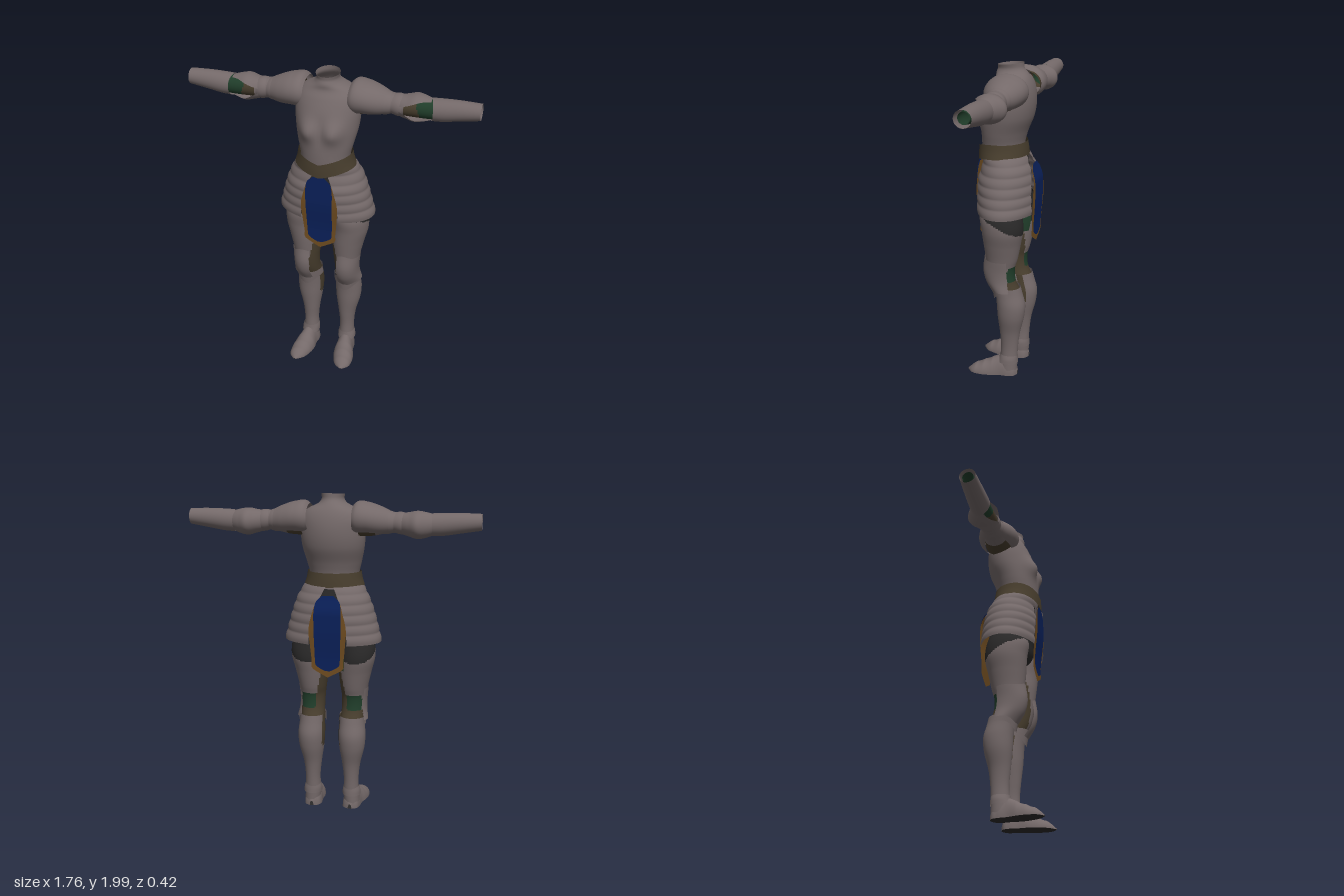
import * as THREE from 'three';

const paint = (name, color) => {
  const m = new THREE.MeshStandardMaterial({ color, side: THREE.DoubleSide });
  m.name = name;
  return m;
};
const steel = paint('steel', 0x746969);
const leather = paint('brown leather', 0x473d2d);
const blue = paint('blue cloth', 0x0a2059);
const gold = paint('gold trim', 0x6f4c20);
const green = paint('green cloth', 0x203d2a);
const black = paint('black cloth', 0x2a2929);

// Smooth interpolation of rows [t, a, b, ...]
function curve(rows) {
  const n = rows[0].length - 1;
  const it = new THREE.CubicInterpolant(rows.map(r => r[0]), rows.flatMap(r => r.slice(1)), n, new Float32Array(n));
  return t => it.evaluate(t);
}

// Grid surface from point(u, v); pick(centre) gives a material, or null for a hole
function surface(name, point, nu, nv, closed, pick) {
  const pos = [], cols = closed ? nu : nu + 1;
  for (let j = 0; j <= nv; j++)
    for (let i = 0; i < cols; i++) pos.push(...point(i / nu, j / nv));
  const sets = new Map();
  const vert = k => new THREE.Vector3().fromArray(pos, k * 3);
  for (let j = 0; j < nv; j++)
    for (let i = 0; i < nu; i++) {
      const a = j * cols + i, b = j * cols + (i + 1) % cols, c = a + cols, d = b + cols;
      const mat = pick.isMaterial ? pick : pick(vert(a).add(vert(d)).multiplyScalar(0.5), (i + 0.5) / nu);
      if (!mat) continue;
      if (!sets.has(mat)) sets.set(mat, []);
      sets.get(mat).push(a, c, b, b, c, d);
    }
  const geo = new THREE.BufferGeometry();
  geo.setAttribute('position', new THREE.Float32BufferAttribute(pos, 3));
  const index = [], mats = [...sets.keys()];
  mats.forEach((m, k) => {
    geo.addGroup(index.length, sets.get(m).length, k);
    index.push(...sets.get(m));
  });
  geo.setIndex(index);
  geo.computeVertexNormals();
  const mesh = new THREE.Mesh(geo, mats.length === 1 ? mats[0] : mats);
  mesh.name = name;
  return mesh;
}

// Elliptical loft. Rows: [y, cx, cz, rx, rz] upright, or [x, cy, cz, ry, rz] sideways
function loft(name, rows, pick, { sideways = false, arc, warp, nu = 40, nv = 32, swell } = {}) {
  const f = curve(rows), t0 = rows[0][0], t1 = rows[rows.length - 1][0];
  return surface(name, (u, v) => {
    const t = t0 + (t1 - t0) * v, [c, cz, r, rz] = f(t);
    const [a0, a1] = arc ? arc(v, r) : [0, Math.PI * 2];
    const a = a0 + (a1 - a0) * u, s = swell ? swell(v) : 0;
    const p = sideways
      ? [t, c + (r + s) * Math.cos(a), cz - (rz + s) * Math.sin(a)]
      : [c + (r + s) * Math.cos(a), t, cz + (rz + s) * Math.sin(a)];
    if (warp) warp(p, a, v);
    return p;
  }, nu, nv, !arc, pick);
}

// Rounded bands along a surface
const bands = (count, depth) => v => depth * Math.abs(Math.sin(v * count * Math.PI));

function arm() {
  const g = new THREE.Group();
  g.add(loft('upperArm', [
    [0.17, 1.83, -0.06, 0.085, 0.095], [0.25, 1.825, -0.06, 0.075, 0.08], [0.34, 1.83, -0.06, 0.063, 0.07],
    [0.4, 1.83, -0.06, 0.06, 0.062], [0.45, 1.825, -0.06, 0.062, 0.064],
  ], p => (p.x < 0.27 ? leather : steel), { sideways: true }));
  // sleeve, narrowing inside the forearm plate
  g.add(loft('elbowSleeve', [
    [0.43, 1.825, -0.06, 0.056, 0.058], [0.55, 1.823, -0.06, 0.057, 0.056], [0.64, 1.825, -0.06, 0.056, 0.054],
    [0.74, 1.836, -0.06, 0.046, 0.044], [0.865, 1.844, -0.062, 0.034, 0.034],
  ], p => (p.x < 0.53 - (p.y - 1.82) * 0.3 ? leather : green), { sideways: true, nv: 48 }));
  // elbow guard, open toward the front
  g.add(loft('elbowGuard', [
    [0.42, 1.825, -0.06, 0.062, 0.066], [0.46, 1.822, -0.065, 0.07, 0.083], [0.51, 1.82, -0.07, 0.081, 0.1],
    [0.56, 1.82, -0.068, 0.074, 0.08], [0.6, 1.822, -0.062, 0.062, 0.064],
  ], steel, { sideways: true, arc: v => [-1.57 + 0.2 + 0.85 * v, 4.71 - 0.2 - 1.05 * v] }));
  g.add(loft('forearm', [
    [0.6, 1.822, -0.062, 0.066, 0.064], [0.66, 1.825, -0.062, 0.066, 0.063], [0.75, 1.833, -0.062, 0.06, 0.058],
    [0.88, 1.842, -0.06, 0.048, 0.05],
  ], steel, { sideways: true, warp: (p, a, v) => { p[0] -= (1 - v) * 0.018 * Math.sin(a); } }));
  // shoulder guard, open underneath
  g.add(loft('shoulderGuard', [
    [0.135, 1.85, -0.06, 0.082, 0.112], [0.155, 1.852, -0.06, 0.097, 0.124], [0.22, 1.85, -0.06, 0.096, 0.125],
    [0.29, 1.84, -0.06, 0.085, 0.104], [0.345, 1.833, -0.06, 0.068, 0.078],
  ], steel, { sideways: true, arc: () => [-2.45, 2.45] }));
  g.add(loft('upperArmPlates', [
    [0.31, 1.832, -0.06, 0.068, 0.08], [0.38, 1.83, -0.06, 0.058, 0.064], [0.44, 1.825, -0.06, 0.062, 0.064],
  ], steel, { sideways: true, nv: 40, swell: bands(2, 0.006) }));
  return g;
}

function leg() {
  const g = new THREE.Group();
  const thighPaint = p => {
    if (p.y > 0.92 && p.y < 1.03 && p.x < 0.085 && p.z < -0.03) return green;
    if (p.y > 1.0 + (p.z + 0.1) * 0.5) return black;
    if (p.y < 0.95 && p.x < 0.102 - Math.max(0, p.y - 0.72) * 0.22) return leather;
    if (p.z < -0.055 && p.x < 0.19 && p.y > 0.665 && p.y < 0.76) return green;
    if (p.z < -0.055 && p.y < 0.665) return leather;
    return steel;
  };
  g.add(loft('thigh', [
    [0.59, 0.125, -0.05, 0.074, 0.078], [0.66, 0.13, -0.018, 0.074, 0.08], [0.74, 0.132, -0.005, 0.078, 0.088],
    [0.8, 0.132, -0.01, 0.086, 0.1], [0.9, 0.138, -0.015, 0.102, 0.116], [1.0, 0.15, -0.02, 0.113, 0.13],
    [1.08, 0.147, -0.012, 0.112, 0.133], [1.17, 0.125, -0.01, 0.1, 0.118],
  ], thighPaint, { nv: 72, nu: 56 }));
  g.add(loft('greave', [
    [0.04, 0.128, -0.05, 0.05, 0.06], [0.1, 0.125, -0.055, 0.05, 0.056], [0.2, 0.125, -0.06, 0.047, 0.055],
    [0.3, 0.125, -0.062, 0.057, 0.065], [0.42, 0.13, -0.07, 0.08, 0.085], [0.5, 0.13, -0.07, 0.085, 0.09],
    [0.58, 0.128, -0.055, 0.08, 0.084], [0.62, 0.128, -0.047, 0.08, 0.082],
  ], p => (p.y > 0.42 && p.x < 0.055 ? leather : steel), { nv: 40 }));
  // knee guard: pointed plates wrapping the front
  const point = drop => (p, a, v) => { p[1] -= drop * (1 - v) * Math.pow(Math.max(0, Math.sin(a)), 4); };
  g.add(loft('kneePlate', [
    [0.6, 0.13, -0.035, 0.096, 0.078], [0.66, 0.13, -0.01, 0.085, 0.1], [0.72, 0.13, 0, 0.084, 0.108],
    [0.8, 0.132, -0.005, 0.089, 0.102],
  ], steel, {
    arc: () => [-0.6, 2.05],
    warp: (p, a, v) => {
      point(0.03)(p, a, v);
      p[1] += 0.025 * v * Math.pow(Math.max(0, Math.sin(a)), 6);
    },
  }));
  g.add(loft('lowerKneePlate', [
    [0.575, 0.128, -0.05, 0.087, 0.087], [0.625, 0.13, -0.035, 0.084, 0.09],
  ], steel, { arc: () => [-0.35, Math.PI + 0.1], warp: point(0.05), nv: 8 }));
  // ankle cuff
  g.add(loft('ankleCuff', [
    [0.09, 0.127, -0.05, 0.058, 0.066], [0.12, 0.126, -0.054, 0.056, 0.06], [0.145, 0.125, -0.055, 0.049, 0.056],
  ], steel, { nv: 8 }));
  // plated shoe with a flat sole: [z, cx, height, half width]
  const f = curve([
    [-0.114, 0.125, 0.03, 0.012], [-0.1, 0.125, 0.07, 0.038], [-0.06, 0.125, 0.11, 0.055], [0, 0.13, 0.125, 0.056],
    [0.06, 0.138, 0.095, 0.067], [0.13, 0.15, 0.064, 0.062], [0.18, 0.157, 0.038, 0.042], [0.21, 0.16, 0.006, 0.006],
  ]);
  const ridge = bands(6, 0.004);
  g.add(surface('shoe', (u, v) => {
    const z = -0.114 + 0.324 * v, [cx, h, w] = f(z), a = u * Math.PI * 2;
    return [cx - w * Math.cos(a), 0.005 + (h - ridge(v)) * Math.max(0, Math.sin(a)), z];
  }, 32, 56, true, (p, u) => (u > 0.5 ? black : steel)));
  return g;
}

// Hanging cloth panel; rows are [y, half width]
function panel(name, rows, mat, z) {
  const f = curve(rows), y0 = rows[0][0], y1 = rows[rows.length - 1][0];
  return surface(name, (u, v) => {
    const y = y0 + (y1 - y0) * v;
    return [(2 * u - 1) * Math.max(0.002, f(y)[0]), y, z(y)];
  }, 8, 40, false, mat);
}

export function createModel() {
  const model = new THREE.Group();
  model.name = 'suitOfArmour';

  // breastplate and collar, open at the neck and arm holes
  model.add(loft('breastplate', [
    [1.42, 0, 0.012, 0.15, 0.13], [1.5, 0, 0.02, 0.15, 0.128], [1.58, 0, 0.01, 0.168, 0.136],
    [1.68, 0, -0.018, 0.19, 0.146], [1.78, 0, -0.03, 0.196, 0.146], [1.86, 0, -0.04, 0.185, 0.125],
    [1.905, 0, -0.043, 0.145, 0.104], [1.935, 0, -0.033, 0.085, 0.094], [1.96, 0, -0.028, 0.068, 0.08],
    [1.995, 0, -0.025, 0.071, 0.078],
  ], p => (Math.abs(p.x) > 0.1 && Math.hypot(p.y - 1.835, p.z + 0.06) < 0.055 ? null : steel), {
    nu: 56, nv: 56,
    warp: (p, a) => {
      const dx = (Math.abs(p[0]) - 0.085) / 0.065, dy = (p[1] - 1.675) / 0.065;
      if (Math.sin(a) > 0) p[2] += 0.052 * Math.sin(a) * Math.exp(-dx * dx - dy * dy);
      if (p[1] > 1.95) p[1] -= (p[2] + 0.1) * 0.1 * (p[1] - 1.95) / 0.045;
    },
  }));

  // belt dipping to a point in front
  model.add(loft('belt', [
    [1.44, 0, 0.016, 0.186, 0.152], [1.48, 0, 0.018, 0.173, 0.15], [1.525, 0, 0.02, 0.165, 0.145],
  ], leather, {
    nv: 6, nu: 64,
    warp: (p, a) => { if (Math.sin(a) > 0) p[1] -= 0.045 * (1 - Math.abs(Math.cos(a))); },
  }));

  model.add(loft('hips', [
    [0.99, 0, -0.01, 0.002, 0.002], [1.04, 0, -0.01, 0.1, 0.09], [1.15, 0, -0.01, 0.19, 0.125],
    [1.3, 0, -0.01, 0.185, 0.13], [1.43, 0, 0, 0.15, 0.125],
  ], p => (p.z < -0.03 && p.y < 1.15 ? green : black)));

  for (const s of [1, -1]) {
    const half = new THREE.Group();
    half.name = s > 0 ? 'leftSide' : 'rightSide';
    half.scale.x = s;
    const a = arm(), l = leg();
    a.name = 'arm';
    l.name = 'leg';
    half.add(a, l);
    // banded skirt plate, open at the centre front and back
    half.add(loft('skirtPlate', [
      [1.1, 0, -0.022, 0.3, 0.186], [1.2, 0, -0.018, 0.274, 0.182], [1.3, 0, -0.014, 0.245, 0.175],
      [1.38, 0, -0.014, 0.214, 0.152], [1.46, 0, 0.008, 0.168, 0.13],
    ], steel, {
      nu: 48, nv: 60, swell: bands(6, 0.006),
      arc: (v, r) => {
        const g = Math.asin((0.115 - 0.1 * v * v) / r);
        return [g - Math.PI / 2, Math.PI / 2 - g];
      },
    }));
    model.add(half);
  }

  // front and back cloth panels with gold borders
  const ramp = THREE.MathUtils.smoothstep;
  const frontZ = y => 0.14 + 0.02 * ramp(y, 1.0, 1.25);
  const backZ = y => -0.192 - 0.01 * ramp(y, 1.0, 1.2) + 0.03 * ramp(y, 1.28, 1.42);
  for (const [name, s, z] of [['front', 1, frontZ], ['back', -1, backZ]]) {
    model.add(panel(name + 'PanelBorder', [
      [0.9, 0.004], [0.925, 0.05], [0.95, 0.092], [1.0, 0.098], [1.1, 0.108], [1.2, 0.114], [1.3, 0.092], [1.36, 0.07], [1.39, 0.04],
    ], gold, z));
    model.add(panel(name + 'Panel', [
      [0.94, 0.015], [0.955, 0.045], [0.975, 0.072], [1.0, 0.076], [1.1, 0.08], [1.2, 0.082], [1.33, 0.08], [1.37, 0.068], [1.4, 0.035],
    ], blue, y => z(y) + s * 0.005));
  }
  return model;
}
